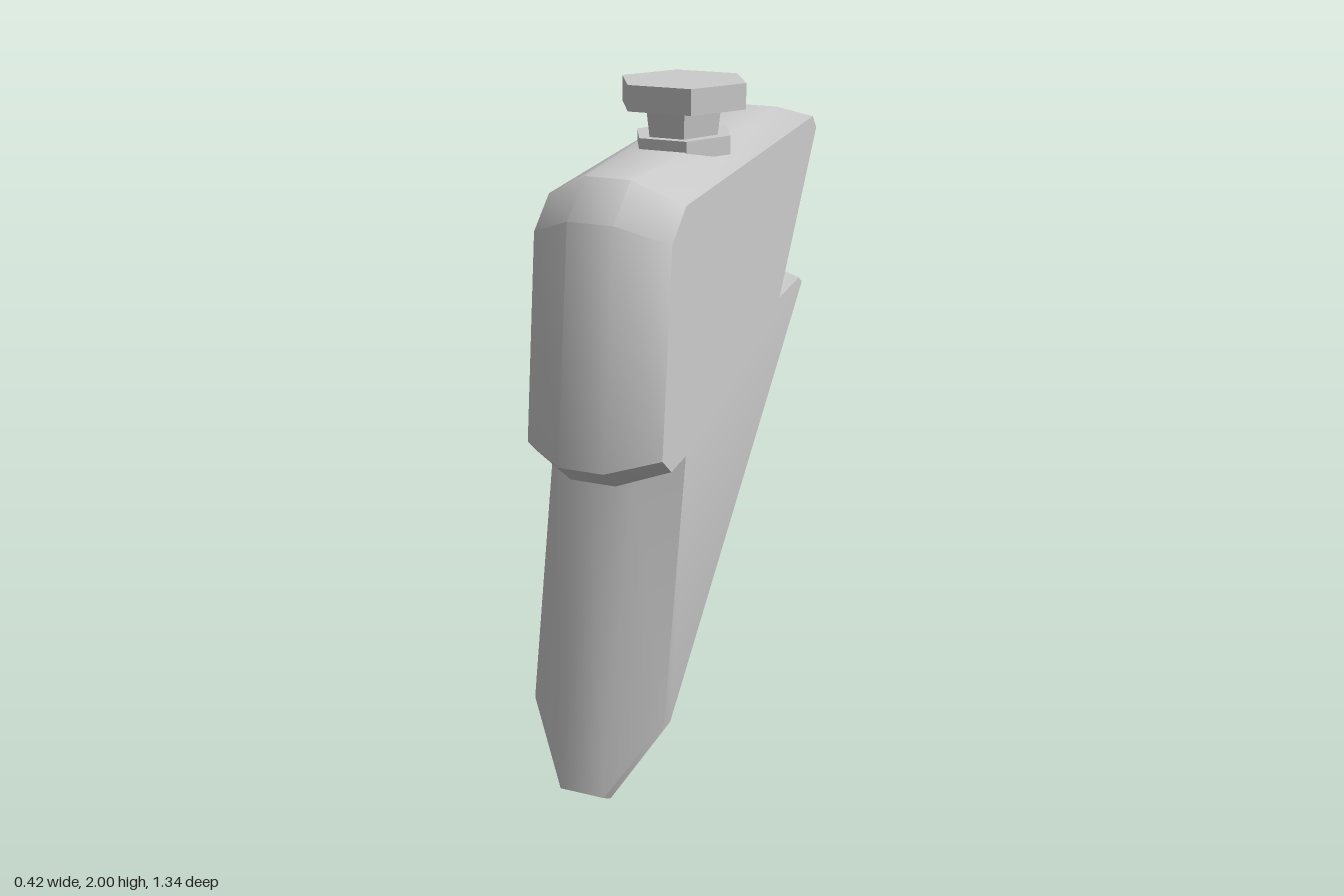
import * as THREE from 'three';
import { toCreasedNormals } from 'three/addons/utils/BufferGeometryUtils.js';

const material = new THREE.MeshStandardMaterial({ color: 0xcccccc });

// Matching corners as [z, y]: full outline (mid) and bevelled outline (sides)
const corners = [
  { mid: [0.625, 0.0], side: [0.51, 0.225] }, // tip
  { mid: [-0.585, 1.32], side: [-0.52, 1.305] }, // back barb
  { mid: [-0.565, 1.342], side: [-0.49, 1.325] },
  { mid: [-0.375, 1.32], side: [-0.322, 1.3] }, // back notch
  { mid: [-0.668, 1.79], side: [-0.622, 1.785] }, // top back
  { mid: [-0.63, 1.84], side: [-0.588, 1.825] },
  { mid: [0.455, 1.8], side: [0.4, 1.73] }, // top front
  { mid: [0.565, 1.695], side: [0.493, 1.64] },
  { mid: [0.645, 1.015], side: [0.56, 1.045] }, // front step
  { mid: [0.57, 0.955], side: [0.5, 0.995] },
  { mid: [0.447, 0.968], side: [0.4, 1.01] }, // front notch
  { mid: [0.67, 0.025], side: [0.555, 0.24] },
];

// Lightning-bolt body: four cross-sections joined in a loop, closed by flat sides
function boltGeometry() {
  const sections = [[-0.21, 'side'], [-0.07, 'mid'], [0.07, 'mid'], [0.21, 'side']];
  const n = corners.length;
  const positions = [];
  const index = [];
  for (const [x, key] of sections) {
    for (const c of corners) positions.push(x, c[key][1], c[key][0]);
  }
  for (let s = 0; s < 3; s++) {
    for (let i = 0; i < n; i++) {
      const a = s * n + i, b = s * n + ((i + 1) % n);
      index.push(a, b, b + n, a, b + n, a + n);
    }
  }
  const contour = corners.map((c) => new THREE.Vector2(-c.side[0], c.side[1]));
  for (const [a, b, c] of THREE.ShapeUtils.triangulateShape(contour, [])) {
    index.push(3 * n + a, 3 * n + b, 3 * n + c, c, b, a);
  }
  const geometry = new THREE.BufferGeometry();
  geometry.setAttribute('position', new THREE.Float32BufferAttribute(positions, 3));
  geometry.setIndex(index);
  return toCreasedNormals(geometry, 0.71);
}

// Six-sided prism with corners on the x axis
function hexPart(name, rTop, rBottom, y0, y1, depthScale = 1) {
  const geometry = new THREE.CylinderGeometry(rTop, rBottom, y1 - y0, 6, 1, false, Math.PI / 6);
  geometry.scale(1, 1, depthScale);
  const mesh = new THREE.Mesh(toCreasedNormals(geometry, 0.5), material);
  mesh.name = name;
  mesh.position.set(0, (y0 + y1) / 2, -0.055);
  return mesh;
}

export function createModel() {
  const model = new THREE.Group();
  model.name = 'boltBottle';
  const body = new THREE.Mesh(boltGeometry(), material);
  body.name = 'boltBody';
  model.add(
    body,
    hexPart('neckCollar', 0.15, 0.15, 1.79, 1.845, 1.14),
    hexPart('neck', 0.12, 0.108, 1.83, 1.93, 1.25),
    hexPart('cap', 0.198, 0.198, 1.924, 2.0),
  );
  return model;
}
